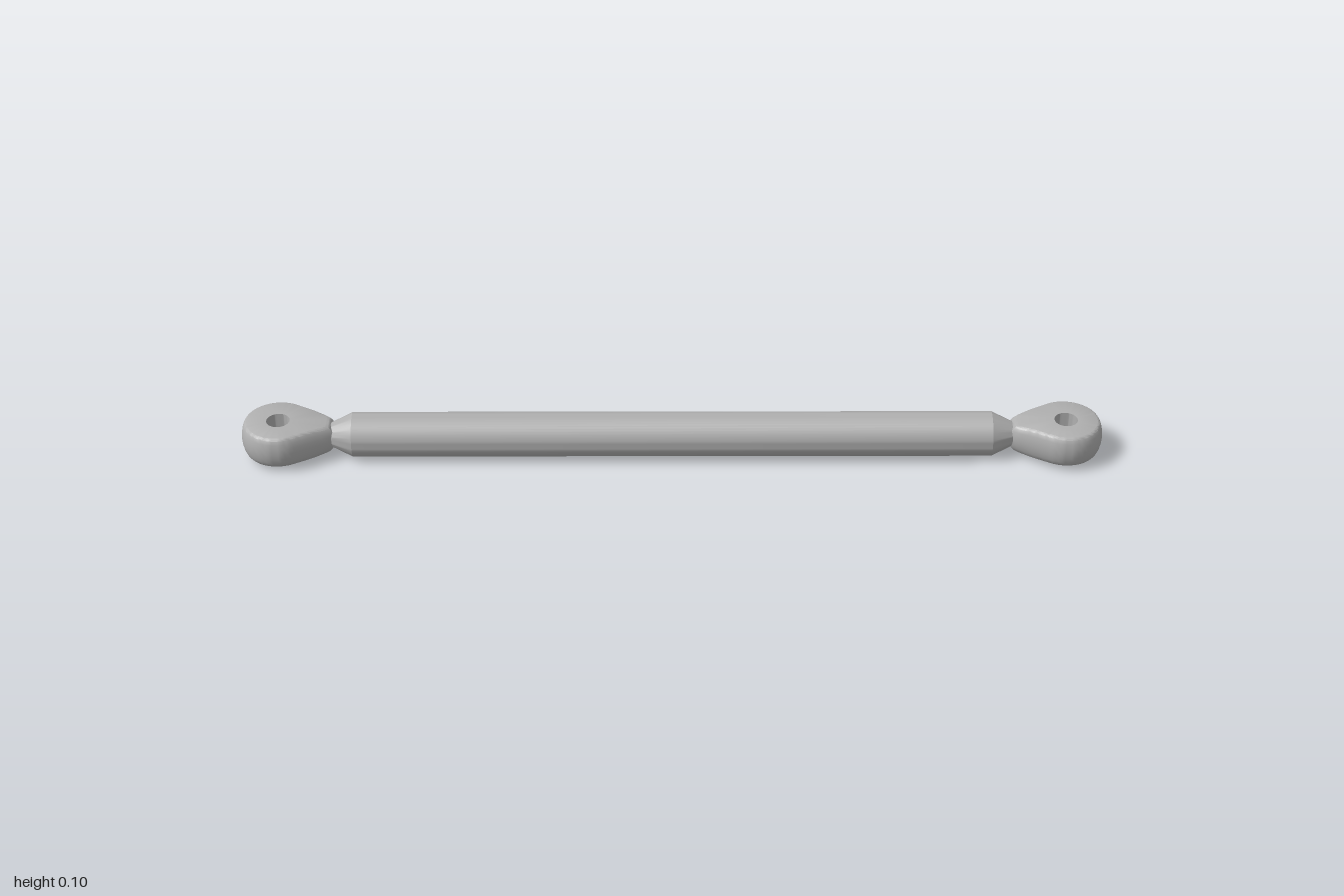
import * as THREE from 'three';
import { toCreasedNormals } from 'three/addons/utils/BufferGeometryUtils.js';

const MID_Y = 0.0525;   // height of the rod axis
const EYE_X = 0.914;    // hole centre of each eye
const EYE_R = 0.086;
const HOLE_R = 0.027;
const NECK_REACH = 0.132;
const TANGENT = THREE.MathUtils.degToRad(61);

// Teardrop outline: a circle with straight tangents running to the neck
function eyeRadius(angle) {
  const a = Math.abs(angle);
  if (a >= TANGENT) return EYE_R;
  return Math.min(EYE_R / Math.cos(TANGENT - a), NECK_REACH / Math.cos(a));
}

// Barrel-sided ring, pulled out towards -x to meet the rod
function eyeGeometry() {
  const profile = [
    [HOLE_R, -0.039], [0.073, -0.039], [0.0765, -0.0375], [0.079, -0.034],
    [0.0825, -0.025], [0.085, -0.013], [EYE_R, 0], [0.085, 0.013],
    [0.0825, 0.025], [0.079, 0.034], [0.0765, 0.0375], [0.073, 0.039],
    [HOLE_R, 0.039], [HOLE_R, -0.039],
  ].map(([r, y]) => new THREE.Vector2(r, y));
  const geo = new THREE.LatheGeometry(profile, 72);
  const p = geo.attributes.position;
  for (let i = 0; i < p.count; i++) {
    const x = p.getX(i), z = p.getZ(i);
    if (Math.hypot(x, z) < HOLE_R + 0.001) continue;
    const s = eyeRadius(Math.atan2(z, -x)) / EYE_R;
    const thin = 1 - 0.12 * THREE.MathUtils.smoothstep(-x * s, 0.07, 0.13);
    p.setXYZ(i, x * s, p.getY(i) * thin, z * s);
  }
  return toCreasedNormals(geo, 0.6);
}

export function createModel() {
  const group = new THREE.Group();
  const metal = new THREE.MeshStandardMaterial({ color: 0xb0b0b0 });
  metal.name = 'grey metal';

  // Rod with a cone at both ends
  const rodProfile = [
    [0, -0.815], [0.029, -0.815], [0.029, -0.79], [0.052, -0.742],
    [0.052, 0.742], [0.029, 0.79], [0.029, 0.815], [0, 0.815],
  ].map(([r, y]) => new THREE.Vector2(r, y));
  const rodGeo = toCreasedNormals(new THREE.LatheGeometry(rodProfile, 48), 0.4);
  const rod = new THREE.Mesh(rodGeo, metal);
  rod.name = 'rod';
  rod.rotation.z = -Math.PI / 2;
  rod.position.y = MID_Y;
  group.add(rod);

  // Eye at each end
  const eyeGeo = eyeGeometry();
  for (const side of [1, -1]) {
    const eye = new THREE.Mesh(eyeGeo, metal);
    eye.name = side > 0 ? 'leftEye' : 'rightEye';
    eye.position.set(side * EYE_X, MID_Y, 0);
    eye.rotation.y = side > 0 ? 0 : Math.PI;
    group.add(eye);
  }
  return group;
}
